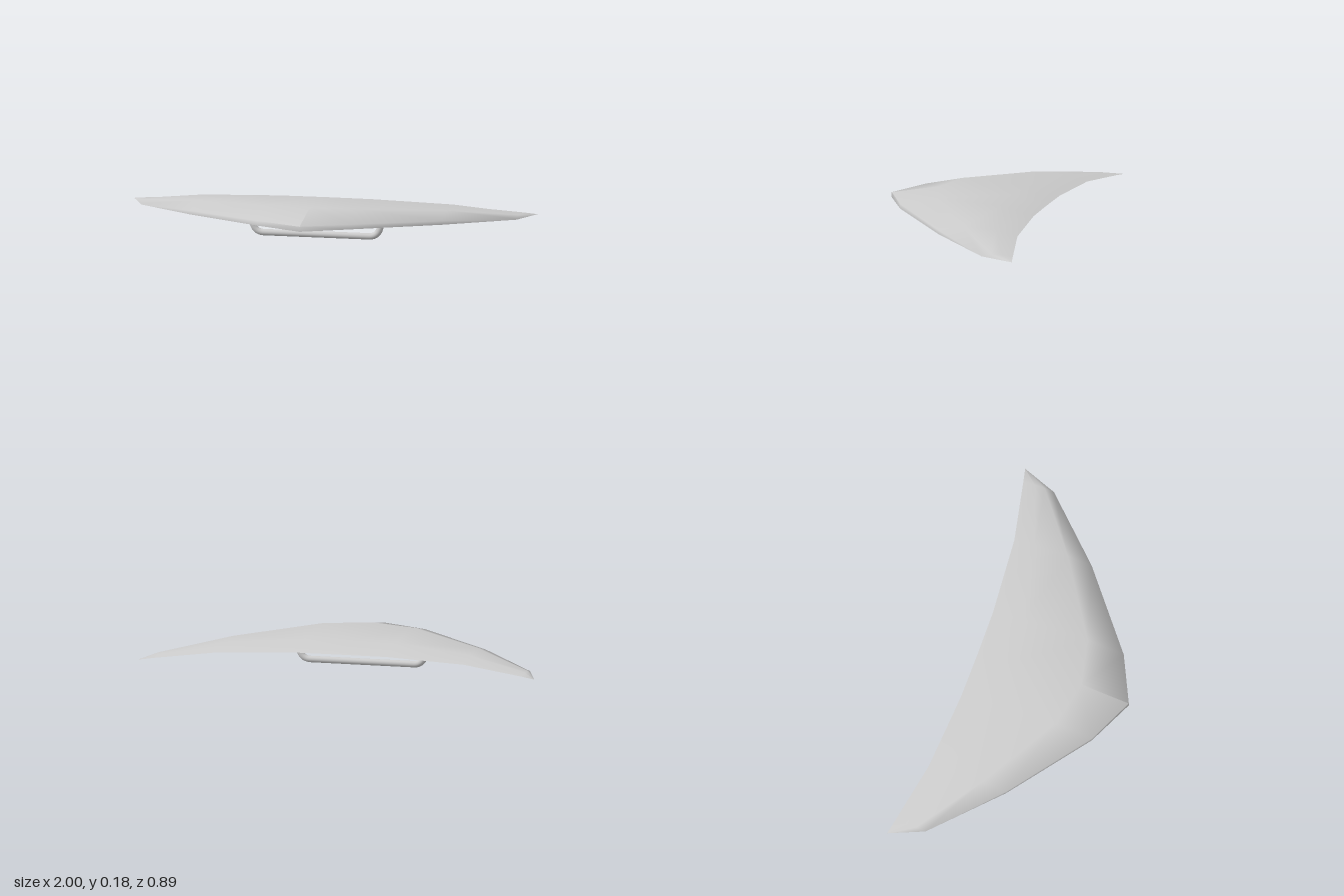
import * as THREE from 'three';
import { toCreasedNormals } from 'three/addons/utils/BufferGeometryUtils.js';

// Half-span sections: x, then [z, y] running from the lower leading edge,
// over the top to the sharp trailing edge, and back along the hollow underside.
const HALF = [
  { x: 0, pts: [[0.445, 0.11], [0.445, 0.135], [0.2, 0.18], [-0.17, 0.16], [-0.335, 0.115], [-0.15, 0.133], [0.18, 0.139]] },
  { x: 0.23, pts: [[0.337, 0.11], [0.337, 0.134], [0.15, 0.174], [-0.18, 0.157], [-0.337, 0.115], [-0.16, 0.131], [0.12, 0.137]] },
  { x: 0.62, pts: [[0.033, 0.088], [0.033, 0.107], [-0.09, 0.134], [-0.26, 0.13], [-0.366, 0.102], [-0.25, 0.108], [-0.1, 0.11]] },
  { x: 0.93, pts: [[-0.272, 0.065], [-0.272, 0.069], [-0.32, 0.079], [-0.37, 0.079], [-0.43, 0.07], [-0.38, 0.069], [-0.33, 0.068]] },
  { x: 1, pts: Array(7).fill([-0.445, 0.061]) },
];

function loft(sections) {
  const n = sections[0].pts.length;
  const out = [];
  const at = (i, j) => {
    const [z, y] = sections[i].pts[j % n];
    return new THREE.Vector3(sections[i].x, y, z);
  };
  const tri = (a, b, c) => {
    const area = b.clone().sub(a).cross(c.clone().sub(a)).length();
    if (area > 1e-8) for (const p of [a, b, c]) out.push(p.x, p.y, p.z);
  };
  for (let i = 0; i < sections.length - 1; i++) {
    for (let j = 0; j < n; j++) {
      const a = at(i, j), b = at(i + 1, j), c = at(i, j + 1), d = at(i + 1, j + 1);
      // mirror the diagonals about the centre line
      if (sections[i].x >= 0) { tri(a, b, c); tri(b, d, c); }
      else { tri(a, b, d); tri(a, d, c); }
    }
  }
  const geo = new THREE.BufferGeometry();
  geo.setAttribute('position', new THREE.Float32BufferAttribute(out, 3));
  return toCreasedNormals(geo, 1.4);
}

export function createModel() {
  const group = new THREE.Group();
  const material = new THREE.MeshStandardMaterial({ color: 0xcccccc });

  // Swept wing, mirrored about the centre
  const left = HALF.slice(1);
  const right = left.map(s => ({ x: -s.x, pts: s.pts })).reverse();
  const wing = new THREE.Mesh(loft([...right, HALF[0], ...left]), material);
  wing.name = 'wing';
  group.add(wing);

  // Control bar: a rounded tube hung under the wing
  const v = (x, y) => new THREE.Vector3(x, y, 0.032);
  const path = new THREE.CurvePath();
  path.add(new THREE.LineCurve3(v(-0.322, 0.145), v(-0.32, 0.085)));
  path.add(new THREE.QuadraticBezierCurve3(v(-0.32, 0.085), v(-0.315, 0.016), v(-0.26, 0.016)));
  path.add(new THREE.LineCurve3(v(-0.26, 0.016), v(0.26, 0.016)));
  path.add(new THREE.QuadraticBezierCurve3(v(0.26, 0.016), v(0.315, 0.016), v(0.32, 0.085)));
  path.add(new THREE.LineCurve3(v(0.32, 0.085), v(0.322, 0.145)));
  const bar = new THREE.Mesh(new THREE.TubeGeometry(path, 80, 0.016, 12), material);
  bar.name = 'controlBar';
  group.add(bar);

  return group;
}
